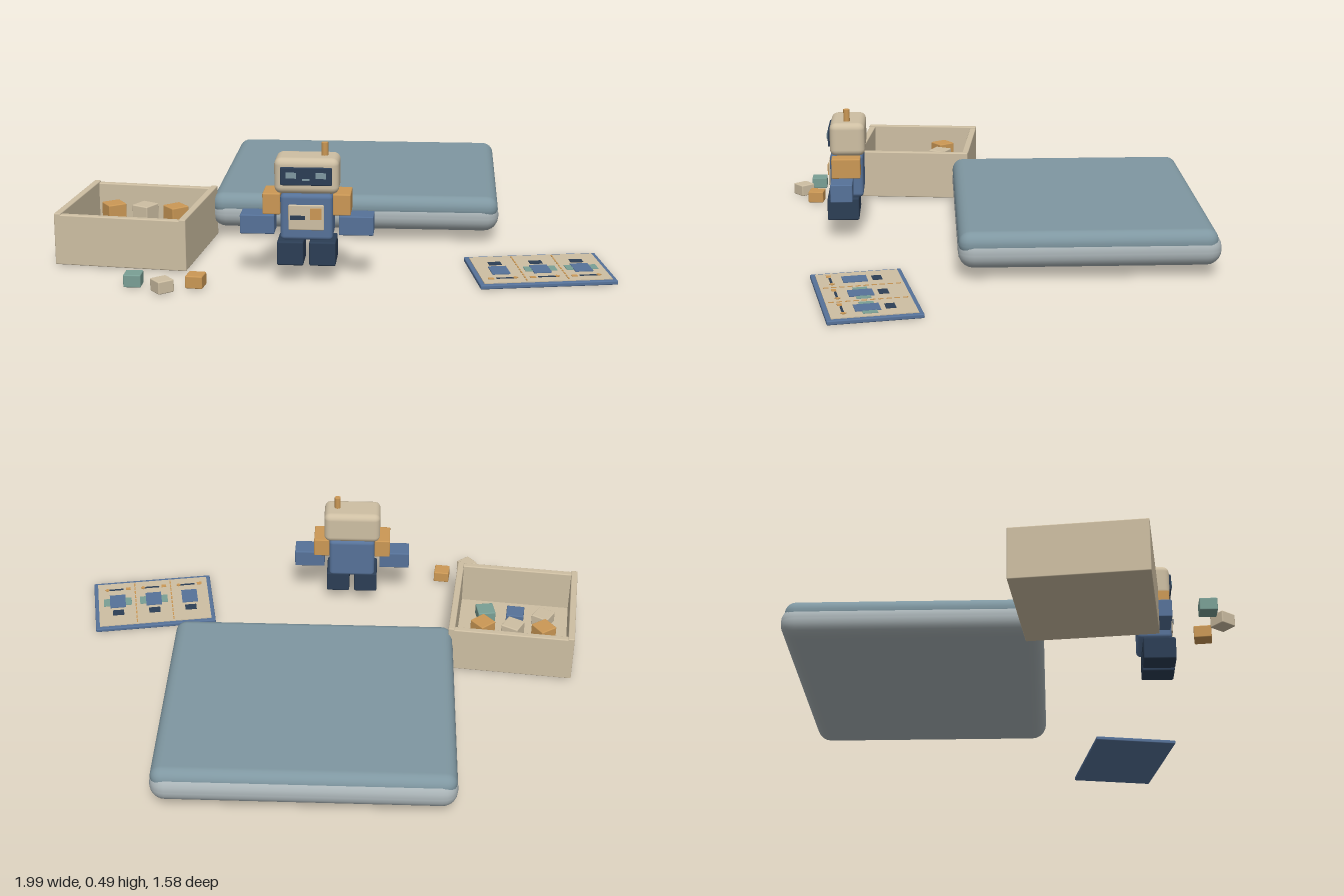
import * as THREE from 'three';
import { RoundedBoxGeometry } from 'three/addons/geometries/RoundedBoxGeometry.js';

const make = (name, color) => {
  const m = new THREE.MeshStandardMaterial({ color });
  m.name = name;
  return m;
};

export function createModel() {
  const root = new THREE.Group();
  root.name = 'playSet';

  const beige = make('beige', 0xcebfa3);
  const blue = make('blue', 0x567299);
  const navy = make('navy', 0x2c3e55);
  const orange = make('orange', 0xcb9855);
  const teal = make('teal', 0x7a9f95);
  const slate = make('slate', 0x7f97a1);
  const pale = make('paleGrey', 0xabb5b8);

  const group = (name, x = 0, y = 0, z = 0, ry = 0, parent = root) => {
    const g = new THREE.Group();
    g.name = name;
    g.position.set(x, y, z);
    g.rotation.y = ry;
    parent.add(g);
    return g;
  };
  // box given by size and centre; r > 0 rounds its edges
  const box = (parent, name, mat, [w, h, d], [x, y, z], r = 0, ry = 0) => {
    const geo = r ? new RoundedBoxGeometry(w, h, d, 3, r) : new THREE.BoxGeometry(w, h, d);
    const mesh = new THREE.Mesh(geo, mat);
    mesh.name = name;
    mesh.position.set(x, y, z);
    mesh.rotation.y = ry;
    parent.add(mesh);
    return mesh;
  };

  // Cushion: pale base with a slate cover on top
  const cushion = group('cushion', 0.056, 0, -0.335);
  box(cushion, 'cushionBase', pale, [1.082, 0.118, 0.93], [0, 0.101, 0], 0.056);
  box(cushion, 'cushionCover', slate, [1.074, 0.087, 0.915], [0, 0.1335, 0.006], 0.042);

  // Open tray
  const tray = group('tray', -0.73, 0, 0.273, -0.108);
  const W = 0.484, D = 0.466, T = 0.025;
  box(tray, 'trayFloor', beige, [W - 0.01, 0.02, D - 0.01], [0, 0.015, 0]);
  for (const s of [-1, 1]) {
    box(tray, s > 0 ? 'trayLeftWall' : 'trayRightWall', beige, [T, 0.19, D], [s * (W - T) / 2, 0.1, 0], 0.004);
    box(tray, s > 0 ? 'trayFrontWall' : 'trayBackWall', beige, [W - T, 0.185, T], [0, 0.0975, s * (D - T) / 2], 0.004);
  }

  // Blocks: material, x, z, turn, bottom, height
  const blocks = group('blocks');
  const blockList = [
    [blue, -0.84, 0.166, -0.2, 0.025, 0.062],
    [orange, -0.842, 0.164, 0.6, 0.087, 0.062],
    [teal, -0.722, 0.178, 0.7, 0.025, 0.062],
    [beige, -0.722, 0.176, -0.5, 0.087, 0.062],
    [beige, -0.607, 0.19, 0.3, 0.025, 0.062],
    [orange, -0.605, 0.188, 0.7, 0.087, 0.062],
    [beige, -0.858, 0.353, -0.55, 0.025, 0.045],
    [blue, -0.746, 0.366, -0.12, 0.025, 0.045],
    [teal, -0.627, 0.38, 0.15, 0.025, 0.045],
    [teal, -0.674, 0.684, 0, 0.004, 0.045],
    [beige, -0.564, 0.743, 0.68, 0.004, 0.045],
    [orange, -0.457, 0.684, -0.12, 0.004, 0.045],
  ];
  for (const [mat, x, z, ry, y, h] of blockList) {
    const s = y > 0.01 ? 0.07 : 0.061;
    box(blocks, 'block', mat, [s, h, s], [x, y + h / 2, z], 0.004, ry);
  }

  // Robot, centred on its own axis
  const robot = group('robot', -0.081, 0, 0.535);
  box(robot, 'head', beige, [0.224, 0.127, 0.132], [0, 0.377, -0.002], 0.025);
  box(robot, 'torso', blue, [0.182, 0.165, 0.125], [0, 0.232, 0.003], 0.015);
  for (const s of [-1, 1]) {
    const side = s > 0 ? 'left' : 'right';
    box(robot, side + 'Shoulder', orange, [0.062, 0.075, 0.108], [s * 0.122, 0.277, 0.003], 0.004);
    box(robot, side + 'Forearm', blue, [0.12, 0.068, 0.082], [s * 0.172, 0.203, 0.018], 0.004);
    box(robot, side + 'Leg', navy, [0.092, 0.086, 0.12], [s * 0.056, 0.105, 0.018], 0.006);
  }
  const antenna = new THREE.Mesh(new THREE.CylinderGeometry(0.012, 0.012, 0.05, 12), orange);
  antenna.name = 'antenna';
  antenna.position.set(0.06, 0.461, 0);
  robot.add(antenna);

  // Face
  box(robot, 'facePanel', navy, [0.178, 0.064, 0.009], [0, 0.38, 0.067], 0.004);
  for (const s of [-1, 1]) {
    box(robot, s > 0 ? 'leftEye' : 'rightEye', slate, [0.036, 0.02, 0.006], [s * 0.051, 0.384, 0.073]);
  }
  box(robot, 'mouth', slate, [0.026, 0.006, 0.005], [0, 0.369, 0.072]);

  // Chest plate with slot and button
  box(robot, 'chestPlate', beige, [0.124, 0.09, 0.009], [0, 0.234, 0.068], 0.004);
  box(robot, 'chestSlot', navy, [0.052, 0.015, 0.005], [-0.03, 0.234, 0.073]);
  box(robot, 'chestButton', orange, [0.04, 0.04, 0.006], [0.034, 0.248, 0.0735]);

  // Picture card: blue cover and beige page with three panels
  const card = group('card', 0.733, 0, 0.449, 0.176);
  box(card, 'cardCover', blue, [0.484, 0.015, 0.323], [0, 0.0085, 0], 0.004);
  box(card, 'cardPage', beige, [0.452, 0.005, 0.291], [0, 0.0165, 0]);
  const mark = (name, mat, w, d, x, z, lift = 0, ry = 0) =>
    box(card, name, mat, [w, 0.003, d], [x, 0.0195 + lift, z], 0, ry);
  for (const x of [-0.074, 0.074]) {
    for (let i = 0; i < 10; i++) mark('dividerDash', orange, 0.005, 0.018, x, -0.126 + i * 0.028);
  }
  for (let i = 0; i < 3; i++) {
    const x = (i - 1) * 0.148;
    mark('printedHead', navy, 0.046, 0.034, x, -0.062);
    mark('printedBody', blue, 0.064, 0.086, x, 0.016, 0.001);
    if (i > 0) {
      for (const s of [-1, 1]) mark('printedArm', teal, 0.026, 0.05, x + s * 0.044, 0.012);
    }
    mark('printedBlock', orange, 0.02, 0.016, x - 0.046, 0.102);
    mark('printedArrow', navy, 0.07, 0.008, x + 0.008, 0.1);
    mark('printedArrowTip', orange, 0.014, 0.014, x + 0.04, 0.1, 0.001, Math.PI / 4);
  }

  return root;
}
